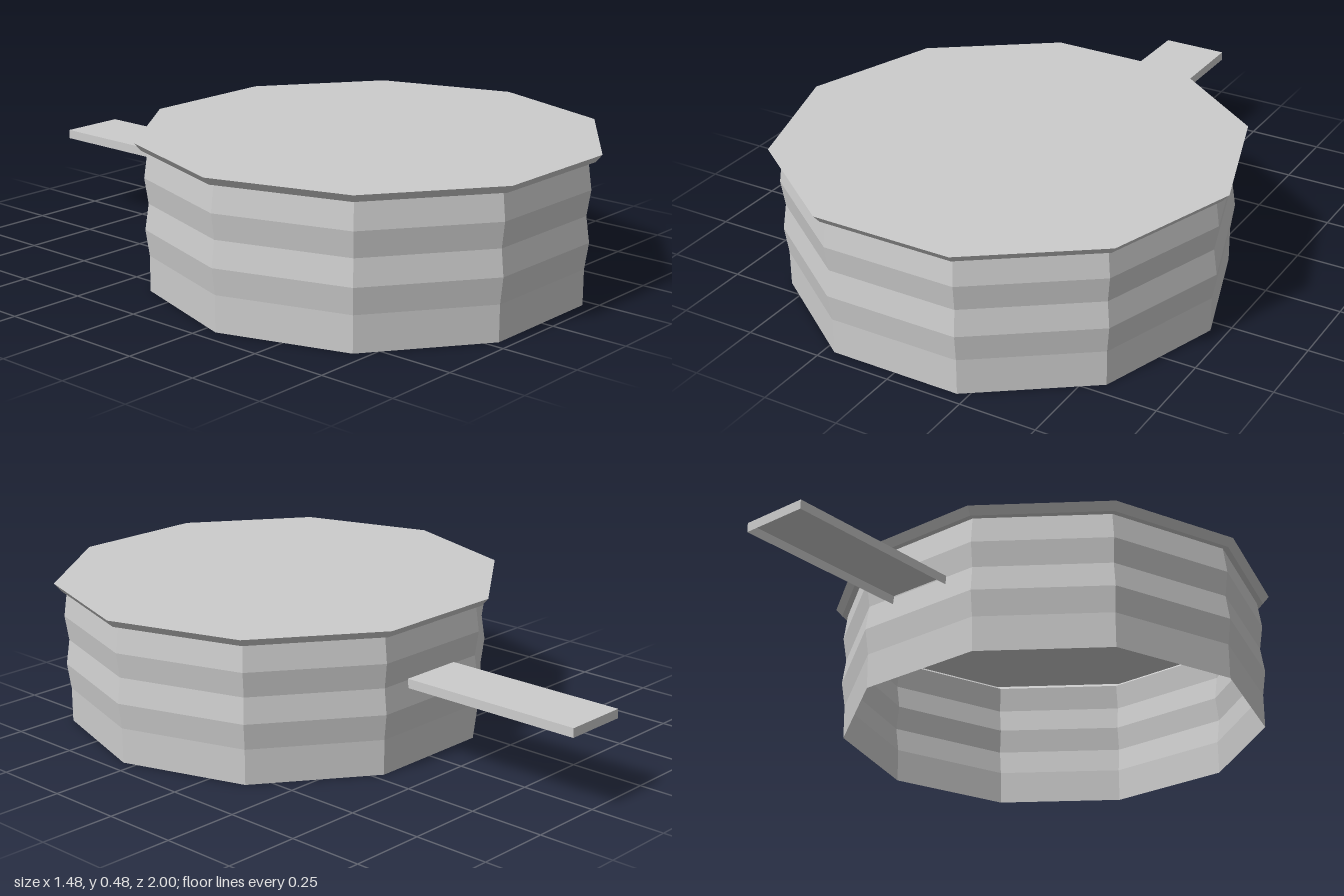
import * as THREE from 'three';

export function createModel() {
  const model = new THREE.Group();
  const grey = new THREE.MeshStandardMaterial({ color: 0xcccccc, flatShading: true, side: THREE.DoubleSide });
  grey.name = 'light grey';

  const SIDES = 10;
  const CENTRE_Z = 0.295;

  // Ten-sided surface turned from [radius, height] points, with corners on the x axis
  function turned(name, profile) {
    const points = profile.map(([r, y]) => new THREE.Vector2(r, y));
    const mesh = new THREE.Mesh(new THREE.LatheGeometry(points, SIDES, Math.PI / 2), grey);
    mesh.name = name;
    mesh.position.z = CENTRE_Z;
    model.add(mesh);
  }

  // Ribbed wall, open at the bottom
  turned('wall', [[0.7, 0], [0.7, 0.115], [0.712, 0.2], [0.7, 0.283], [0.712, 0.365], [0.7, 0.452]]);

  // Flared rim closed by a flat top
  turned('lid', [[0.7, 0.452], [0.72, 0.452], [0.741, 0.477], [0, 0.477]]);

  // Handle: a shallow tray without underside or inner end
  const front = CENTRE_Z - 0.7 * Math.cos(Math.PI / SIDES);
  const length = 1 + front;
  const geometry = new THREE.BoxGeometry(0.22, 0.03, length);
  const index = Array.from(geometry.index.array);
  geometry.setIndex([...index.slice(0, 18), ...index.slice(30, 36)]); // sides, top and outer end
  geometry.clearGroups();
  const handle = new THREE.Mesh(geometry, grey);
  handle.name = 'handle';
  handle.position.set(0, 0.272, front - length / 2);
  model.add(handle);

  return model;
}
